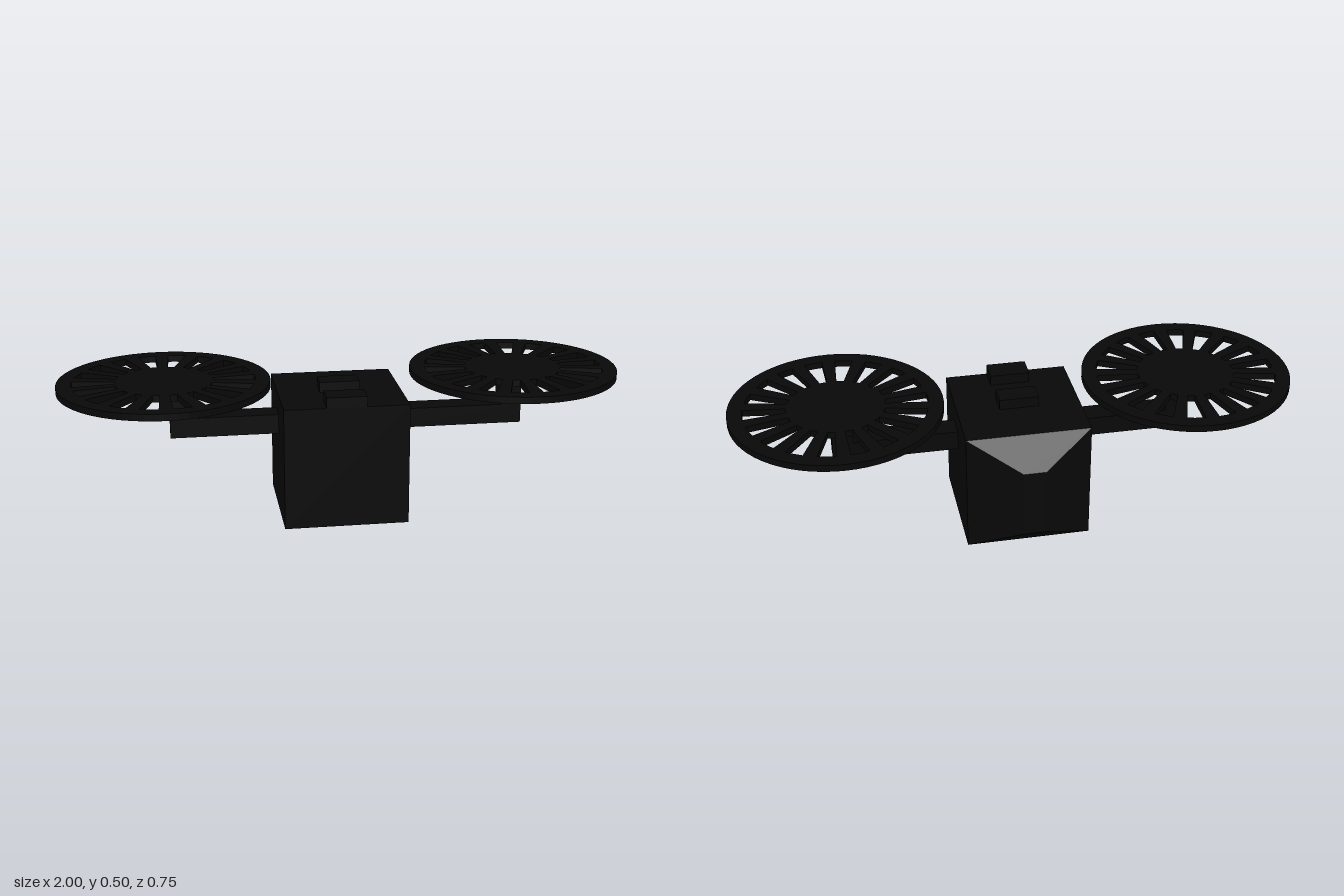
import * as THREE from 'three';

const material = new THREE.MeshStandardMaterial({ color: 0x080808, flatShading: true });

// Box given by its minimum and maximum corners
function box(name, [x0, y0, z0], [x1, y1, z1]) {
  const geometry = new THREE.BoxGeometry(x1 - x0, y1 - y0, z1 - z0);
  geometry.translate((x0 + x1) / 2, (y0 + y1) / 2, (z0 + z1) / 2);
  const mesh = new THREE.Mesh(geometry, material);
  mesh.name = name;
  return mesh;
}

// Box whose back face shrinks to a smaller rectangle
function tailCone() {
  const geometry = new THREE.BoxGeometry(0.44, 0.438, 0.102);
  const p = geometry.attributes.position;
  for (let i = 0; i < p.count; i++) {
    if (p.getZ(i) < 0) p.setXY(i, Math.sign(p.getX(i)) * 0.04, Math.sign(p.getY(i)) * 0.125);
  }
  geometry.computeVertexNormals();
  const mesh = new THREE.Mesh(geometry, material);
  mesh.name = 'tailCone';
  mesh.position.set(-0.01, 0.219, -0.271);
  return mesh;
}

// Flat wheel: solid hub, tapered spokes and outer ring, cut from one disc
function rotor(name, x) {
  const spokes = 18, inner = 0.172, outer = 0.32;
  const shape = new THREE.Shape().absarc(0, 0, 0.373, 0, Math.PI * 2);
  for (let i = 0; i < spokes; i++) {
    const a = (i / spokes) * Math.PI * 2;
    const wIn = 0.075, wOut = 0.1;
    const hole = new THREE.Path();
    hole.absarc(0, 0, outer, a - wOut, a + wOut, false);
    hole.absarc(0, 0, inner, a + wIn, a - wIn, true);
    hole.closePath();
    shape.holes.push(hole);
  }
  const geometry = new THREE.ExtrudeGeometry(shape, { depth: 0.024, bevelEnabled: false, curveSegments: 32 });
  geometry.rotateX(-Math.PI / 2);
  const mesh = new THREE.Mesh(geometry, material);
  mesh.name = name;
  mesh.position.set(x, 0.471, 0);
  return mesh;
}

export function createModel() {
  const model = new THREE.Group();
  model.name = 'twinRotorDrone';

  // Body with tapered rear
  model.add(box('body', [-0.23, 0, -0.22], [0.21, 0.438, 0.22]), tailCone());

  // Small blocks on the roof
  model.add(box('frontRoofBlock', [-0.082, 0.43, 0.133], [0.06, 0.475, 0.22]));
  model.add(box('middleRoofBlock', [-0.082, 0.43, -0.041], [0.06, 0.475, 0.037]));

  // Arms with upright posts under the rotors
  model.add(box('rightArm', [-0.612, 0.295, -0.043], [-0.22, 0.365, 0.043]));
  model.add(box('rightPost', [-0.612, 0.36, -0.043], [-0.548, 0.458, 0.043]));
  model.add(box('leftArm', [0.2, 0.295, -0.043], [0.652, 0.365, 0.043]));
  model.add(box('leftPost', [0.58, 0.36, -0.043], [0.652, 0.46, 0.043]));

  // Rotors
  model.add(rotor('rightRotor', -0.627), rotor('leftRotor', 0.627));
  return model;
}
